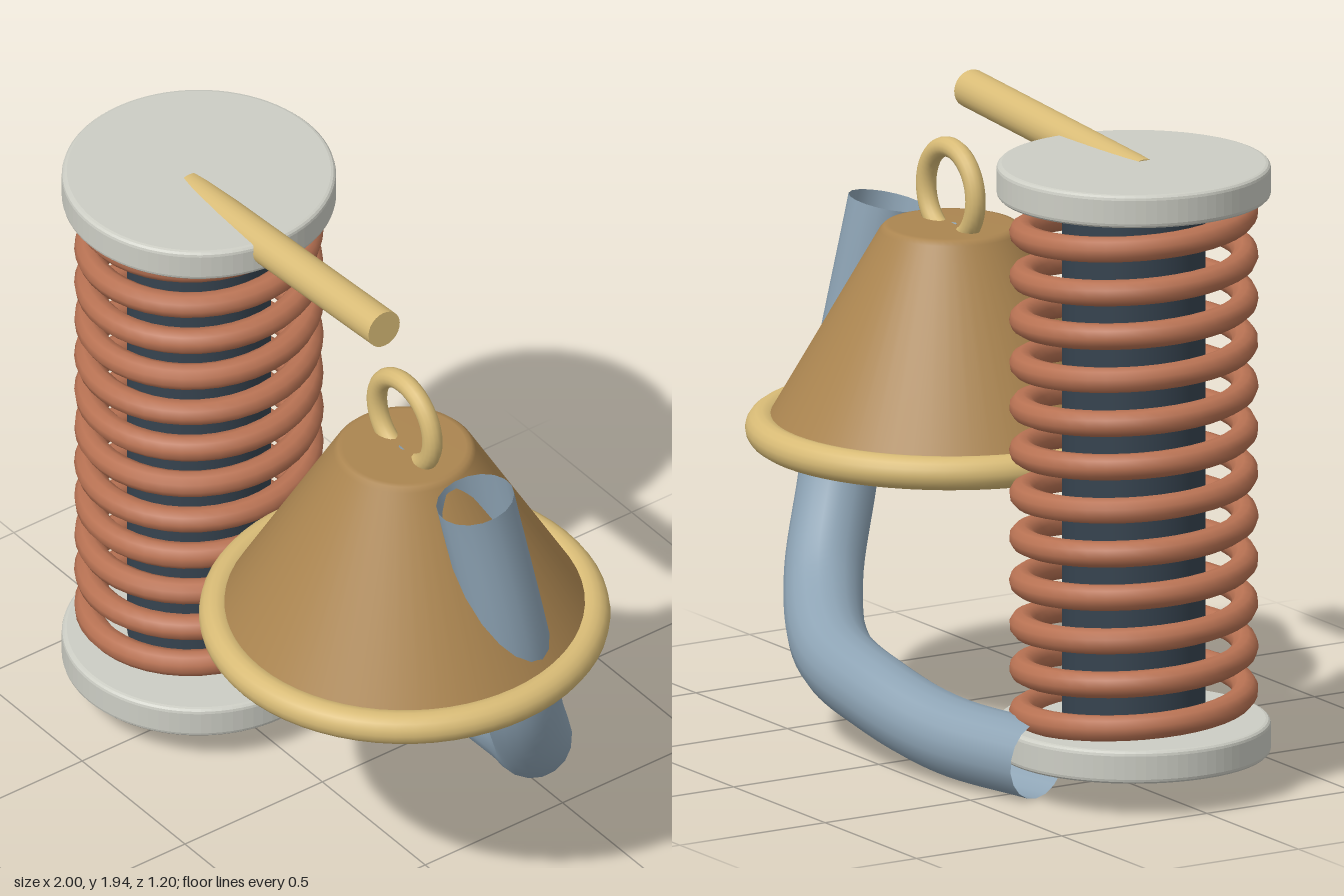
import * as THREE from 'three';

const mat = (name, color, side = THREE.FrontSide) => {
  const m = new THREE.MeshStandardMaterial({ color, side });
  m.name = name;
  return m;
};

export function createModel() {
  const model = new THREE.Group();
  const pale = mat('pale grey', 0xcccdc4);
  const slate = mat('dark slate', 0x36434f);
  const copper = mat('copper', 0xb87253);
  const brass = mat('brass', 0xd8bb76);
  const bronze = mat('bronze', 0xab8550, THREE.DoubleSide);
  const steel = mat('blue grey', 0x8da3b4, THREE.DoubleSide);

  const add = (name, geometry, material, x = 0, y = 0, z = 0) => {
    const mesh = new THREE.Mesh(geometry, material);
    mesh.name = name;
    mesh.position.set(x, y, z);
    model.add(mesh);
    return mesh;
  };

  // Spool: core between two discs with softly bevelled edges
  const spoolX = -0.6;
  add('spoolCore', new THREE.CylinderGeometry(0.21, 0.21, 1.59, 40), slate, spoolX, 0.985);
  const disc = new THREE.Shape().absarc(0, 0, 0.385, 0, Math.PI * 2);
  const flange = new THREE.ExtrudeGeometry(disc, {
    depth: 0.07, bevelThickness: 0.015, bevelSize: 0.015, bevelSegments: 3, curveSegments: 40,
  });
  flange.center().rotateX(-Math.PI / 2);
  add('bottomFlange', flange, pale, spoolX, 0.15);
  add('topFlange', flange, pale, spoolX, 1.82);

  // Coil wound around the core
  class Helix extends THREE.Curve {
    getPoint(t, target = new THREE.Vector3()) {
      const a = t * 12 * Math.PI * 2;
      return target.set(0.325 * Math.cos(a), 0.2 + 1.57 * t, -0.325 * Math.sin(a));
    }
  }
  add('coil', new THREE.TubeGeometry(new Helix(), 480, 0.039, 10), copper, spoolX);

  // Lever rising out of the top disc
  const from = new THREE.Vector3(-0.595, 1.817, 0.037);
  const to = new THREE.Vector3(0.35, 1.884, 0.037);
  const lever = add('lever', new THREE.CylinderGeometry(0.057, 0.057, from.distanceTo(to), 24), brass);
  lever.position.copy(from).lerp(to, 0.5);
  lever.quaternion.setFromUnitVectors(new THREE.Vector3(0, 1, 0), to.clone().sub(from).normalize());

  // Hollow bell with a rolled rim and a hanging ring
  const bellX = 0.4;
  const profile = [[0.55, 0.86], [0.208, 1.455], [0.195, 1.468], [0.18, 1.47], [0, 1.47]];
  add('bell', new THREE.LatheGeometry(profile.map(p => new THREE.Vector2(...p)), 56), bronze, bellX);
  add('bellRim', new THREE.TorusGeometry(0.55, 0.05, 16, 64).rotateX(Math.PI / 2), brass, bellX, 0.86);
  add('bellRing', new THREE.TorusGeometry(0.135, 0.03, 14, 40), brass, bellX, 1.565);

  // Clapper swung towards the front
  add('clapper', new THREE.SphereGeometry(0.08, 20, 14), steel, bellX, 0.845, 0.18);
  const rod = add('clapperRod', new THREE.CylinderGeometry(0.018, 0.018, 0.65, 10), steel, bellX, 1.155, 0.09);
  rod.rotation.x = -Math.atan2(0.18, 0.62);

  // Open hose sweeping from under the spool up through the bell
  const path = new THREE.CatmullRomCurve3([
    [-0.59, 0.115, -0.325], [-0.25, 0.13, -0.415], [0.05, 0.185, -0.455], [0.38, 0.25, -0.42],
    [0.62, 0.4, -0.3], [0.75, 0.65, -0.17], [0.78, 0.9, -0.11], [0.73, 1.47, -0.01],
  ].map(p => new THREE.Vector3(...p)));
  add('hose', new THREE.TubeGeometry(path, 64, 0.116, 18), steel);

  return model;
}
